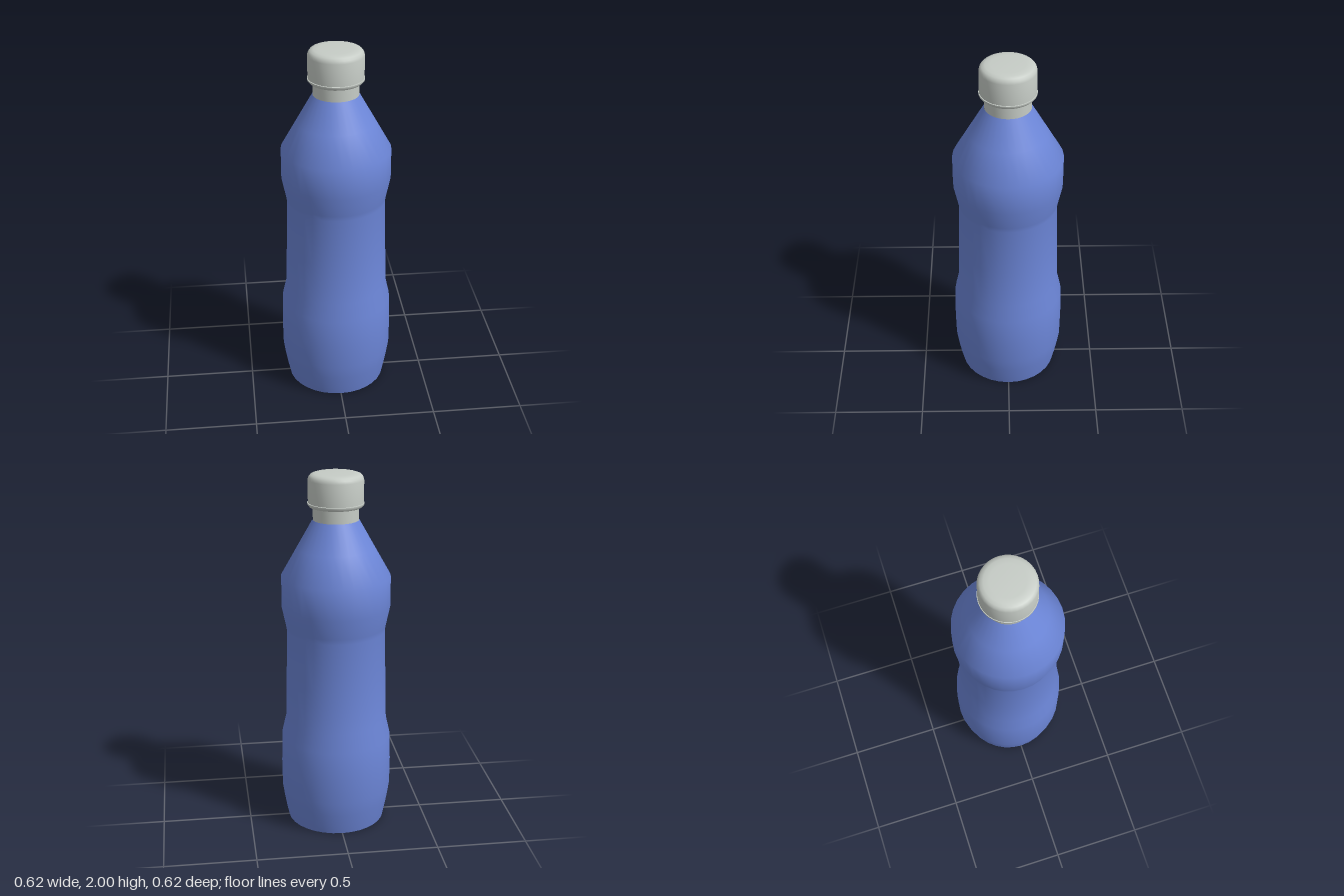
import * as THREE from 'three';
import { toCreasedNormals } from 'three/addons/utils/BufferGeometryUtils.js';

const SIDES = 32;

// Turned part from a bottom-to-top [radius, height] profile, smooth except at sharp corners
function turned(name, profile, material) {
  const points = profile.map(([r, y]) => new THREE.Vector2(r, y));
  const mesh = new THREE.Mesh(toCreasedNormals(new THREE.LatheGeometry(points, SIDES), 0.75), material);
  mesh.name = name;
  return mesh;
}

export function createModel() {
  const blue = new THREE.MeshStandardMaterial({ color: 0x6c86d8 });
  const grey = new THREE.MeshStandardMaterial({ color: 0xc6ccc6 });
  const bottle = new THREE.Group();
  bottle.name = 'bottle';

  // Flat base, bulging foot, waisted grip, shoulder cone
  bottle.add(turned('body', [
    [0, 0], [0.273, 0], [0.284, 0.05], [0.297, 0.12], [0.309, 0.2], [0.311, 0.35],
    [0.307, 0.51], [0.284, 0.61], [0.278, 0.85], [0.271, 1.13], [0.276, 1.16],
    [0.299, 1.27], [0.299, 1.44], [0.212, 1.595], [0.125, 1.75],
  ], blue));

  // Neck below the cap
  bottle.add(turned('neck', [[0.124, 1.745], [0.124, 1.85]], grey));

  // Thin tamper ring under the cap
  bottle.add(turned('sealRing', [
    [0.122, 1.822], [0.143, 1.822], [0.153, 1.834], [0.153, 1.842], [0.122, 1.842],
  ], grey));

  // Screw cap with a rounded top edge
  bottle.add(turned('cap', [
    [0.122, 1.844], [0.15, 1.844], [0.15, 1.965], [0.146, 1.98], [0.136, 1.992],
    [0.118, 1.998], [0.09, 2], [0, 2],
  ], grey));

  return bottle;
}
